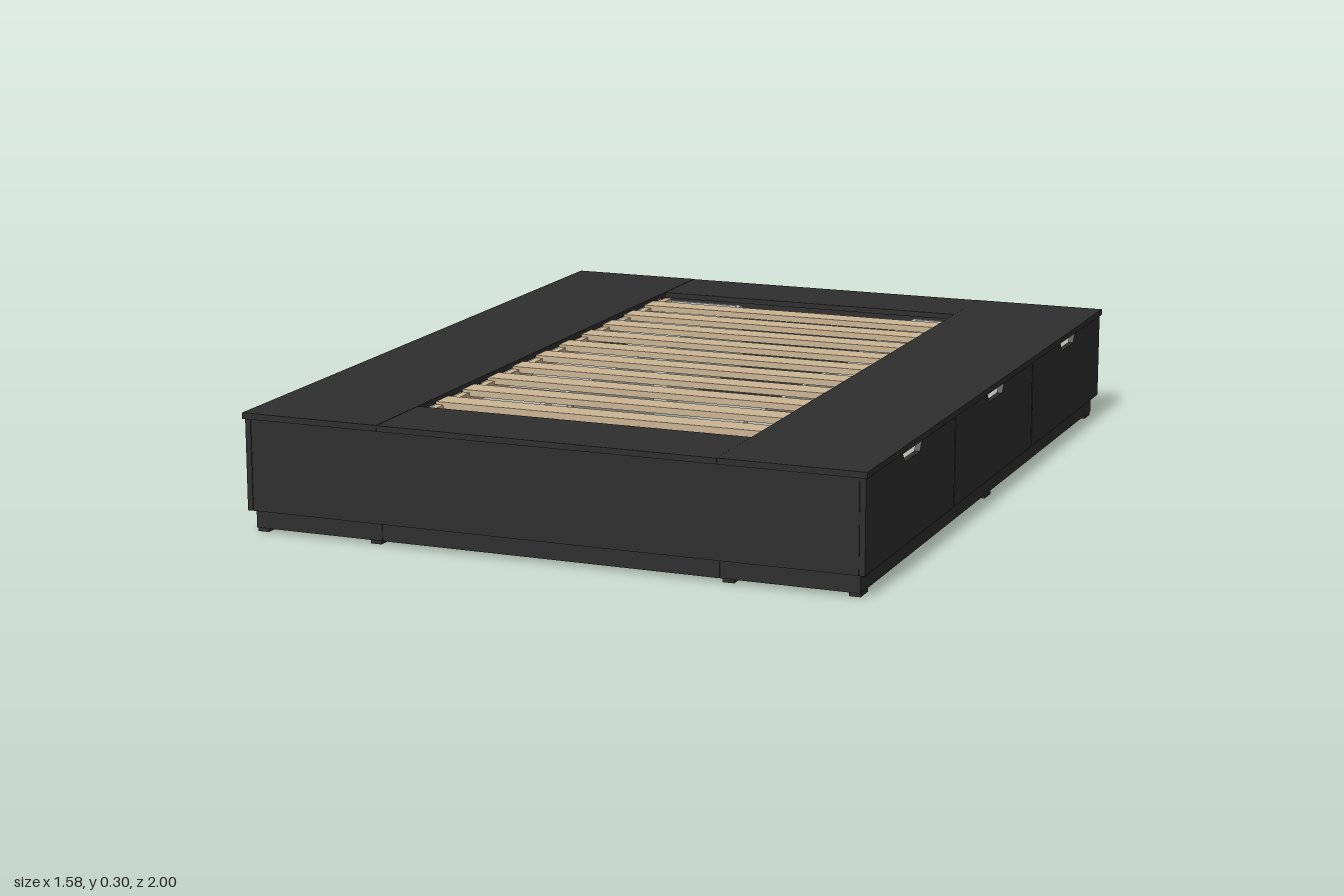
import * as THREE from 'three';

const dark = new THREE.MeshStandardMaterial({ color: 0x2e2e2e });
dark.name = 'charcoal board';
const wood = new THREE.MeshStandardMaterial({ color: 0xccb594 });
wood.name = 'pale wood';
const grey = new THREE.MeshStandardMaterial({ color: 0xc8cac3 });
grey.name = 'light grey drawer';

export function createModel() {
  const bed = new THREE.Group();
  bed.name = 'storageBed';

  // box given by its minimum and maximum corners
  function box(name, mat, x0, x1, y0, y1, z0, z1, parent = bed) {
    const mesh = new THREE.Mesh(new THREE.BoxGeometry(x1 - x0, y1 - y0, z1 - z0), mat);
    mesh.position.set((x0 + x1) / 2, (y0 + y1) / 2, (z0 + z1) / 2);
    mesh.name = name;
    parent.add(mesh);
    return mesh;
  }
  // same box, mirrored to the side s = 1 or -1 in x
  function sideBox(name, mat, s, x0, x1, ...rest) {
    return s > 0 ? box(name, mat, x0, x1, ...rest) : box(name, mat, -x1, -x0, ...rest);
  }

  // drawer front with a trapezoid finger notch in its top edge
  const w = 0.3295, y0 = 0.055, y1 = 0.281;
  const outline = new THREE.Shape([
    [-w, y0], [w, y0], [w, y1], [0.072, y1], [0.055, 0.256], [-0.055, 0.256], [-0.072, y1], [-w, y1],
  ].map(([x, y]) => new THREE.Vector2(x, y)));
  const frontGeometry = new THREE.ExtrudeGeometry(outline, { depth: 0.014, bevelEnabled: false });

  for (const s of [-1, 1]) {
    // long top boards, plinth and slat rail
    sideBox('sideTopBoard', dark, s, 0.431, 0.79, 0.282, 0.297, -1, 1);
    sideBox('sidePlinth', dark, s, 0.431, 0.77, 0.01, 0.055, -0.98, 0.98);
    sideBox('slatRail', wood, s, 0.411, 0.43, 0.25, 0.281, -0.78, 0.78);

    // feet
    for (const z of [-0.95, 0, 0.95])
      for (const x of [0.45, 0.755])
        sideBox('foot', dark, s, x - 0.014, x + 0.014, 0, 0.01, z - 0.025, z + 0.025);

    // dividers between drawers, with a light connecting rail
    for (const z of [-0.335, 0.335]) {
      sideBox('divider', dark, s, 0.36, 0.766, 0.055, 0.25, z - 0.008, z + 0.008);
      sideBox('drawerLink', grey, s, 0.312, 0.328, 0.06, 0.08, z - 0.05, z + 0.05);
    }

    // three drawers
    for (const z of [-0.665, 0, 0.665]) {
      const front = new THREE.Mesh(frontGeometry, dark);
      front.name = 'drawerFront';
      front.rotation.y = s * Math.PI / 2;
      front.position.set(s * 0.771, 0, z);
      bed.add(front);

      const a = z - 0.285, b = z + 0.285, t = 0.012;
      sideBox('drawerBottom', grey, s, 0.262, 0.77, 0.068, 0.076, a, b);
      sideBox('drawerBack', grey, s, 0.26, 0.26 + t, 0.062, 0.24, a, b);
      sideBox('drawerSide', grey, s, 0.26 + t, 0.77, 0.062, 0.24, a, a + t);
      sideBox('drawerSide', grey, s, 0.26 + t, 0.77, 0.062, 0.24, b - t, b);
      for (const e of [a + 0.01, b - 0.01])
        sideBox('drawerPeg', grey, s, 0.25, 0.26, 0.2, 0.212, e - 0.006, e + 0.006);
    }
  }

  // head and foot ends
  for (const s of [-1, 1]) {
    const end = new THREE.Group();
    end.name = s > 0 ? 'footEnd' : 'headEnd';
    box('endTopBoard', dark, -0.43, 0.43, 0.282, 0.2965, 0.78, 1, end);
    box('endPanel', dark, -0.77, 0.77, 0.055, 0.281, 0.98, 0.994, end);
    box('endPlinth', dark, -0.43, 0.43, 0.01, 0.055, 0.78, 0.98, end);
    end.rotation.y = s > 0 ? 0 : Math.PI;
    bed.add(end);
  }

  // ten slats
  for (let i = 0; i < 10; i++) {
    const z = -0.66 + i * 0.1457;
    box('slat', wood, -0.43, 0.43, 0.272, 0.288, z - 0.033, z + 0.033);
  }
  return bed;
}
